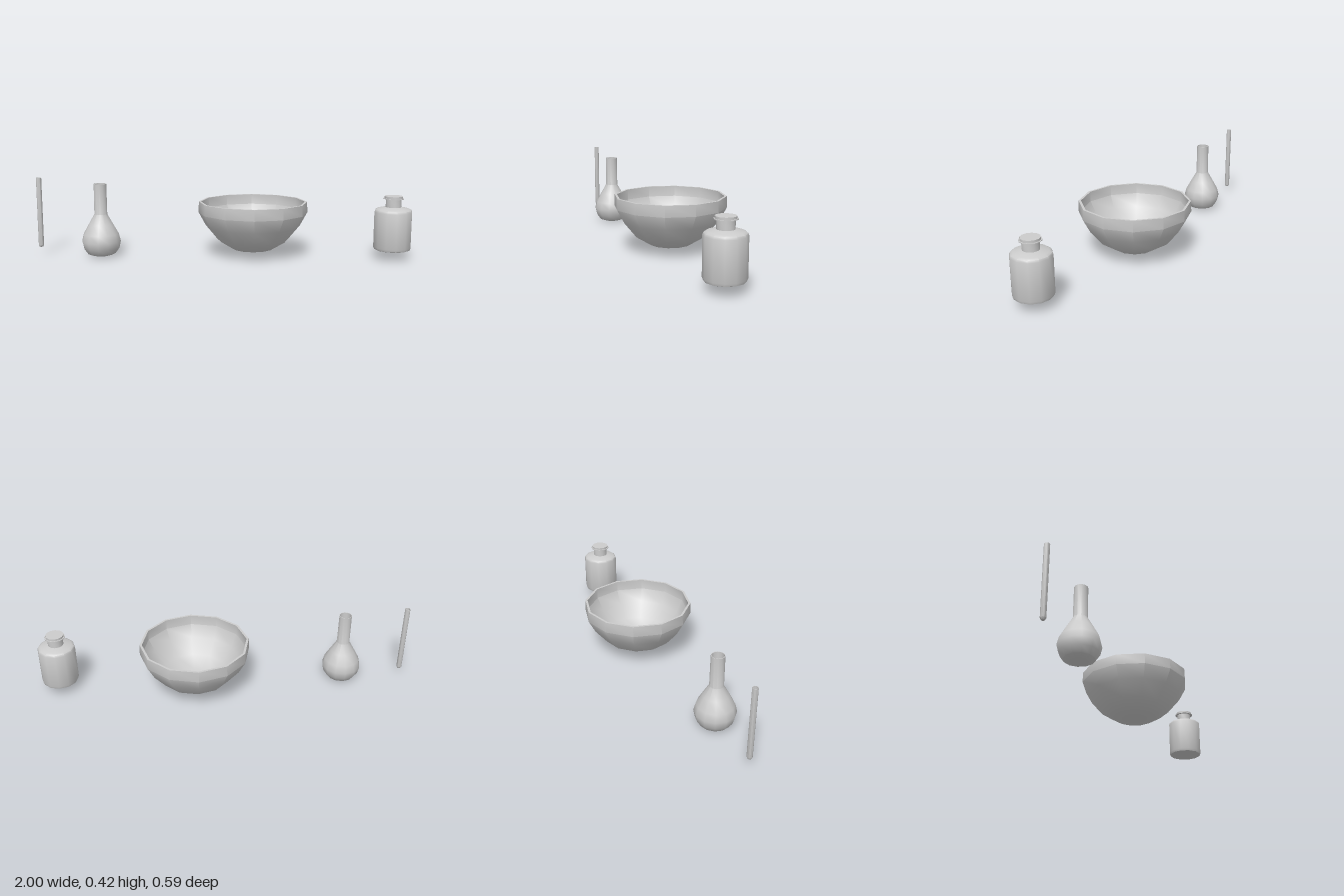
import * as THREE from 'three';
import { toCreasedNormals } from 'three/addons/utils/BufferGeometryUtils.js';

const material = new THREE.MeshStandardMaterial({ color: 0xcccccc, side: THREE.DoubleSide });

// Turned part from [radius, height] pairs, listed from the bottom up the outside
function turned(name, profile, sides, x, z) {
  const points = profile.map(([r, y]) => new THREE.Vector2(r, y));
  const geometry = toCreasedNormals(new THREE.LatheGeometry(points, sides), 0.7);
  const mesh = new THREE.Mesh(geometry, material);
  mesh.name = name;
  mesh.position.set(x, 0, z);
  return mesh;
}

export function createModel() {
  const group = new THREE.Group();
  group.name = 'glassware';

  // Wide open bowl with a thin wall and flat foot
  group.add(turned('bowl', [
    [0, 0.037], [0.108, 0.037], [0.19, 0.087], [0.255, 0.165], [0.293, 0.235], [0.291, 0.293],
    [0.279, 0.293], [0.28, 0.238], [0.244, 0.172], [0.182, 0.097], [0.104, 0.049], [0, 0.049],
  ], 12, 0.165, 0));

  // Round-bottomed flask with an open straight neck
  group.add(turned('flask', [
    [0, 0], [0.038, 0], [0.075, 0.012], [0.096, 0.042], [0.105, 0.08], [0.095, 0.12],
    [0.066, 0.172], [0.035, 0.226], [0.034, 0.39],
    [0.031, 0.39], [0.031, 0.226],
  ], 12, -0.653, 0.02));

  // Slim test tube with a rounded bottom and open top
  group.add(turned('testTube', [
    [0, 0.04], [0.009, 0.043], [0.014, 0.052], [0.014, 0.42],
    [0.012, 0.42], [0.012, 0.054], [0, 0.044],
  ], 10, -0.986, 0));

  // Bottle with rounded shoulders, short neck and lip
  const bottle = new THREE.Group();
  bottle.name = 'bottle';
  bottle.add(turned('bottleBody', [
    [0, 0.049], [0.083, 0.049], [0.094, 0.053], [0.099, 0.066], [0.099, 0.252],
    [0.095, 0.263], [0.083, 0.27], [0.041, 0.278], [0.041, 0.321],
    [0.054, 0.321], [0.054, 0.325], [0, 0.325],
  ], 12, 0.9, 0.084));
  bottle.add(turned('stopper', [
    [0, 0.325], [0.048, 0.325], [0.048, 0.336], [0, 0.336],
  ], 12, 0.9, 0.084));
  group.add(bottle);

  return group;
}
